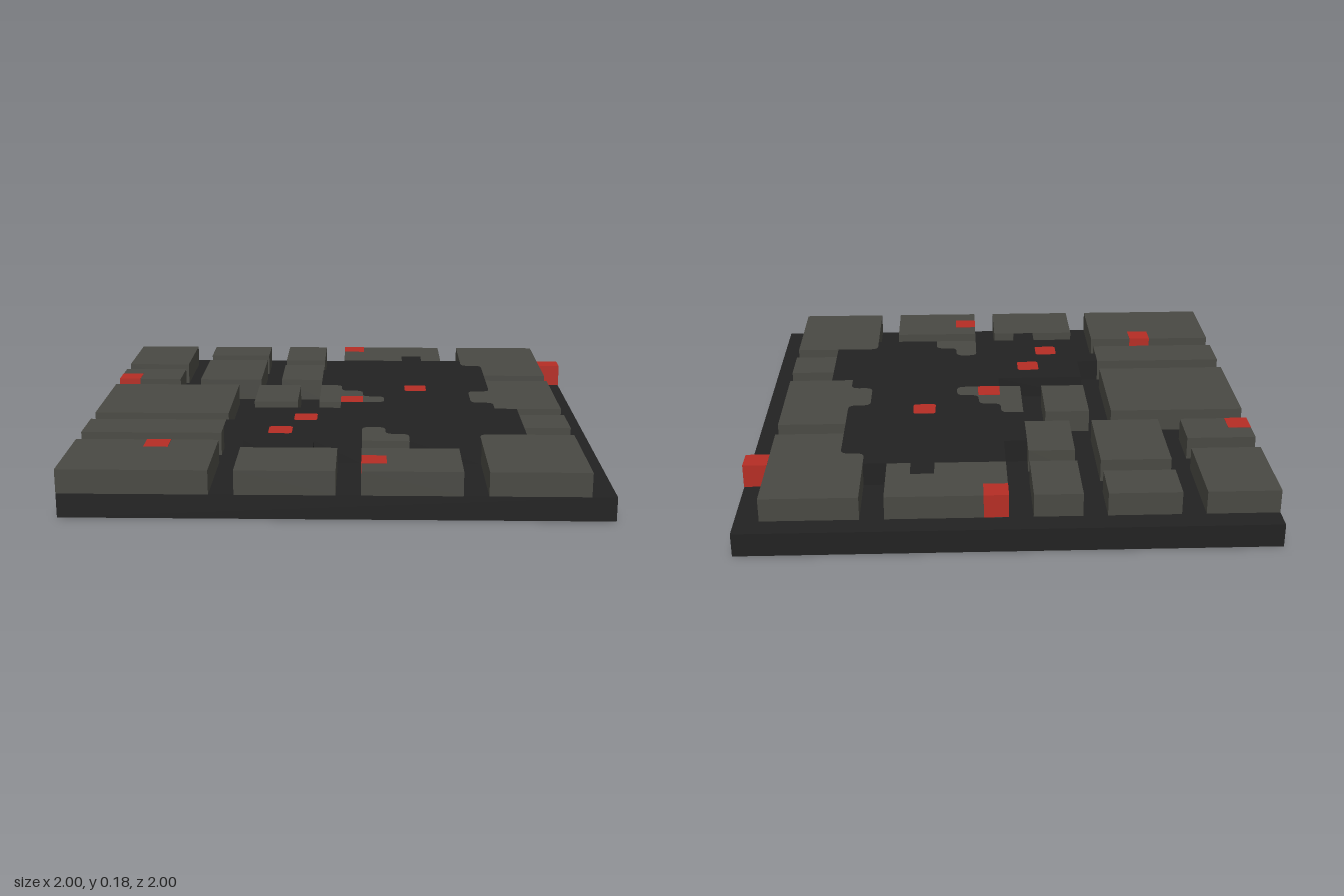
import * as THREE from 'three';

const CELL = 1 / 11; // the board is a 22 x 22 grid of cells, two layers high
const material = (name, color) => {
  const m = new THREE.MeshStandardMaterial({ color });
  m.name = name;
  return m;
};

// Grid corners where blocks and plaza meet in a soft curve
const SOFT = new Set(['17,5', '18,5', '18,10', '17,10', '17,12', '18,12', '17,17',
  '14,17', '13,17', '13,16', '12,16', '13,12', '13,11', '12,10', '11,9', '12,11', '11,10']);

// Slab one cell high, from an outline in grid cells (column, row)
function slab(outline, radius, isSoft = ([x, z]) => SOFT.has(`${x},${z}`)) {
  const shape = new THREE.Shape();
  const points = outline.map(([x, z]) => new THREE.Vector2(x - 11, z - 11).multiplyScalar(CELL));
  const n = points.length;
  points.forEach((p, i) => {
    const line = (q) => (i === 0 && q !== null && shape.curves.length === 0 && !shape.started
      ? (shape.moveTo(q.x, q.y), (shape.started = true)) : shape.lineTo(q.x, q.y));
    if (!isSoft(outline[i])) return line(p);
    const toward = (q) => p.clone().add(q.clone().sub(p).setLength(radius * CELL));
    const a = toward(points[(i + n - 1) % n]);
    const b = toward(points[(i + 1) % n]);
    line(a);
    shape.quadraticCurveTo(p.x, p.y, b.x, b.y);
  });
  shape.closePath();
  const geometry = new THREE.ExtrudeGeometry(shape, { depth: CELL, bevelEnabled: false, curveSegments: 5 });
  geometry.rotateX(Math.PI / 2);
  geometry.translate(0, 2 * CELL, 0);
  return geometry;
}

const rect = (x0, x1, z0, z1) => [[x0, z0], [x1, z0], [x1, z1], [x0, z1]];

export function createModel() {
  const model = new THREE.Group();
  model.name = 'cityBoard';
  const dark = material('asphalt black', 0x222222);
  const grey = material('stone grey', 0x494943);
  const red = material('marker red', 0xb52d24);
  const add = (name, geometry, mat) => {
    const mesh = new THREE.Mesh(geometry, mat);
    mesh.name = name;
    model.add(mesh);
    return mesh;
  };

  // Street-level base
  add('base', new THREE.BoxGeometry(2, CELL, 2).translate(0, CELL / 2, 0), dark);

  // Raised dark plaza
  add('plaza', slab([
    [11, 4], [14, 4], [14, 3], [15, 3], [15, 4], [17, 4], [17, 5], [18, 5], [18, 10], [17, 10],
    [17, 12], [18, 12], [18, 13], [19, 13], [19, 17], [17, 17], [17, 18], [14, 18], [14, 17],
    [13, 17], [13, 16], [12, 16], [12, 18], [10, 18], [10, 19], [9, 19], [9, 18], [7, 18],
    [7, 16], [6, 16], [6, 15], [7, 15], [7, 13], [11, 13], [11, 12], [13, 12], [13, 11],
    [12, 11], [12, 10], [11, 10], [11, 9], [10, 9], [10, 6], [11, 6],
  ], 0.35), dark);

  // City blocks: plain rectangles, then those cut by the plaza
  const blocks = [
    rect(0, 3, 1, 5), rect(4, 7, 1, 3), rect(8, 10, 1, 4), rect(0, 3, 6, 8), rect(4, 7, 4, 8),
    rect(8, 10, 5, 8), rect(0, 6, 9, 14), rect(7, 9, 9, 12), rect(19, 21, 14, 16),
    rect(0, 6, 15, 17), rect(0, 6, 18, 22), rect(7, 11, 19, 22), rect(12, 16, 19, 22),
    rect(17, 21, 17, 22),
    [[11, 1], [16, 1], [16, 4], [15, 4], [15, 3], [14, 3], [14, 4], [11, 4]],
    [[17, 1], [21, 1], [21, 7], [18, 7], [18, 5], [17, 5]],
    [[18, 8], [21, 8], [21, 13], [18, 13], [18, 12], [17, 12], [17, 10], [18, 10]],
    [[10, 9], [11, 9], [11, 10], [12, 10], [12, 11], [13, 11], [13, 12], [10, 12]],
    [[12, 16], [13, 16], [13, 17], [14, 17], [14, 18], [12, 18]],
  ];
  blocks.forEach((outline, i) => add(`block${i + 1}`, slab(outline, 0.35), grey));

  // Red markers: one cell each, standing a hair proud of their surroundings
  const e = 0.008;
  const markers = [[11, 1], [21, 4], [0, 7], [14, 9, true], [11, 11], [9, 14, true],
    [8, 16, true], [3, 18], [12, 20]];
  markers.forEach(([x, z, soft], i) => {
    const outline = rect(x - e, x + 1 + e, z - e, z + 1 + e);
    add(`marker${i + 1}`, slab(outline, 0.15, () => !!soft), red).position.y = 0.001;
  });

  return model;
}
